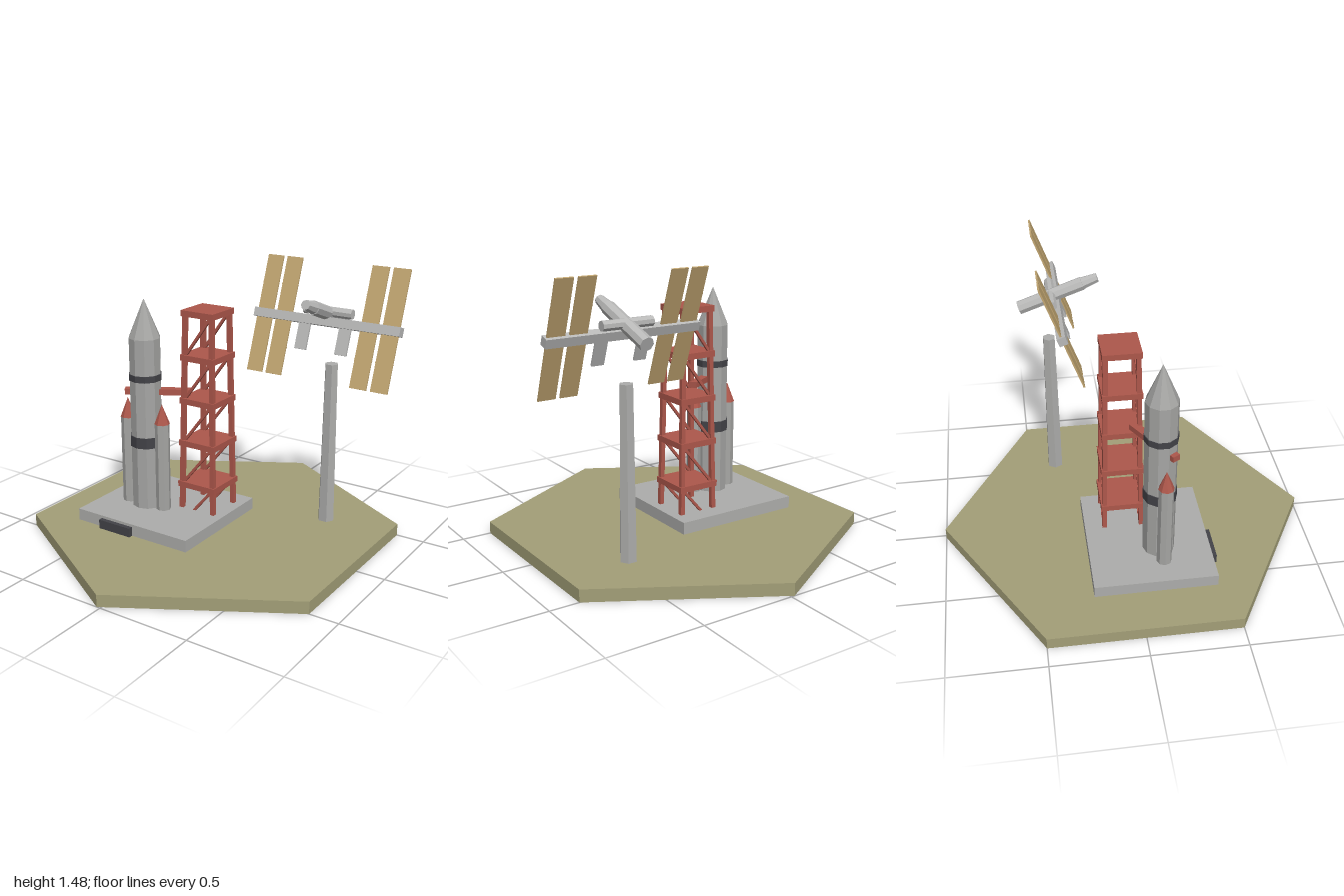
import * as THREE from 'three';

const mat = (name, color) => {
  const m = new THREE.MeshStandardMaterial({ color });
  m.name = name;
  m.flatShading = true;
  return m;
};

export function createModel() {
  const olive = mat('olive ground', 0xa39f78);
  const concrete = mat('concrete', 0xadadab);
  const hull = mat('hull grey', 0xa6a6a4);
  const dark = mat('charcoal', 0x434348);
  const red = mat('tower red', 0xad574b);
  const gold = mat('solar gold', 0xc2a672);
  const white = mat('station grey', 0xb9b9b8);

  const root = new THREE.Group();
  root.name = 'launchSite';

  const group = (name, x, y, z) => {
    const g = new THREE.Group();
    g.name = name;
    g.position.set(x, y, z);
    root.add(g);
    return g;
  };
  const add = (parent, name, geo, m, x = 0, y = 0, z = 0) => {
    const mesh = new THREE.Mesh(geo, m);
    mesh.name = name;
    mesh.position.set(x, y, z);
    parent.add(mesh);
    return mesh;
  };
  const box = (parent, name, m, w, h, d, x, y, z) =>
    add(parent, name, new THREE.BoxGeometry(w, h, d), m, x, y, z);
  // upright round part between two heights
  const tube = (parent, name, m, rTop, rBottom, y0, y1, sides, x = 0, z = 0) =>
    add(parent, name, new THREE.CylinderGeometry(rTop, rBottom, y1 - y0, sides), m, x, (y0 + y1) / 2, z);
  // square bar between two points
  const bar = (parent, name, m, a, b, t) => {
    const dir = b.clone().sub(a);
    const mesh = box(parent, name, m, t, dir.length(), t, 0, 0, 0);
    mesh.position.copy(a).add(b).multiplyScalar(0.5);
    mesh.quaternion.setFromUnitVectors(new THREE.Vector3(0, 1, 0), dir.normalize());
    return mesh;
  };
  const v = (x, y, z) => new THREE.Vector3(x, y, z);

  // Ground and launch pad
  tube(root, 'ground', olive, 1, 1, 0, 0.065, 6, -0.02, 0);
  box(root, 'launchPad', concrete, 0.717, 0.065, 0.65, -0.279, 0.0975, 0.09);
  box(root, 'padSign', dark, 0.205, 0.05, 0.025, -0.372, 0.09, 0.427);

  // Rocket with side boosters
  const rocket = group('rocket', -0.37, 0, 0.14);
  tube(rocket, 'body', hull, 0.086, 0.086, 0.13, 1.08, 10);
  tube(rocket, 'noseCone', hull, 0, 0.086, 1.08, 1.287, 10);
  tube(rocket, 'lowerBand', dark, 0.09, 0.09, 0.48, 0.54, 10);
  tube(rocket, 'upperBand', dark, 0.09, 0.09, 0.85, 0.885, 10);
  for (const s of [-1, 1]) {
    tube(rocket, 'booster', hull, 0.04, 0.04, 0.13, 0.625, 8, s * 0.115, 0.012);
    tube(rocket, 'boosterCone', red, 0, 0.042, 0.622, 0.73, 8, s * 0.115, 0.012);
  }

  // Tapered service tower
  const tower = group('tower', -0.082, 0, -0.027);
  const half = (y) => 0.103 - 0.017 * y; // leg offset at a height
  for (const sx of [-1, 1]) {
    for (const sz of [-1, 1]) {
      const b = half(0.08), t = half(1.21);
      bar(tower, 'leg', red, v(sx * b, 0.08, sz * b), v(sx * t, 1.21, sz * t), 0.024);
    }
  }
  for (let i = 0; i < 5; i++) {
    const y = 0.27 + i * 0.2375;
    const w = 0.234 - i * 0.0085;
    box(tower, 'deck', red, w, 0.032, w, 0, y, 0);
    const y0 = y - 0.2375;
    for (const s of [-1, 1]) {
      bar(tower, 'brace', red, v(-half(y0), y0, s * half(y0)), v(half(y), y, s * half(y)), 0.014);
    }
  }

  // Access arm, reaching past the rocket
  const arm = box(root, 'accessArm', red, 0.35, 0.032, 0.044, -0.307, 0.786, 0.115);
  arm.rotation.y = 0.53;

  // Six-sided support column
  const column = tube(root, 'supportColumn', concrete, 0.036, 0.046, 0.065, 0.955, 6, 0.487, -0.347);
  column.rotation.y = Math.PI / 6;

  // Orbiting station, tilted nose up
  const station = group('station', 0.468, 1.187, -0.3);
  station.rotation.x = -0.345;
  box(station, 'truss', white, 0.835, 0.047, 0.047, 0, 0, 0);
  const along = (name, rFront, rBack, z0, z1) => {
    const m = add(station, name, new THREE.CylinderGeometry(rFront, rBack, z1 - z0, 8),
      white, 0, 0.045, (z0 + z1) / 2);
    m.rotation.x = Math.PI / 2;
  };
  along('mainModule', 0.037, 0.037, -0.195, 0.17);
  along('noseModule', 0.025, 0.034, 0.17, 0.255);
  const cross = add(station, 'crossModule', new THREE.CylinderGeometry(0.026, 0.026, 0.275, 8),
    white, 0, 0.055, -0.01);
  cross.rotation.z = Math.PI / 2;
  for (const s of [-1, 1]) {
    box(station, 'radiator', white, 0.066, 0.14, 0.012, s * 0.116, -0.09, 0);
    for (const x of [0.245, 0.36]) {
      box(station, 'solarPanel', gold, 0.092, 0.626, 0.009, s * x, 0, 0);
      for (const y of [-0.165, 0.165]) {
        box(station, 'panelRib', gold, 0.097, 0.006, 0.006, s * x, y, 0);
      }
    }
  }
  return root;
}
